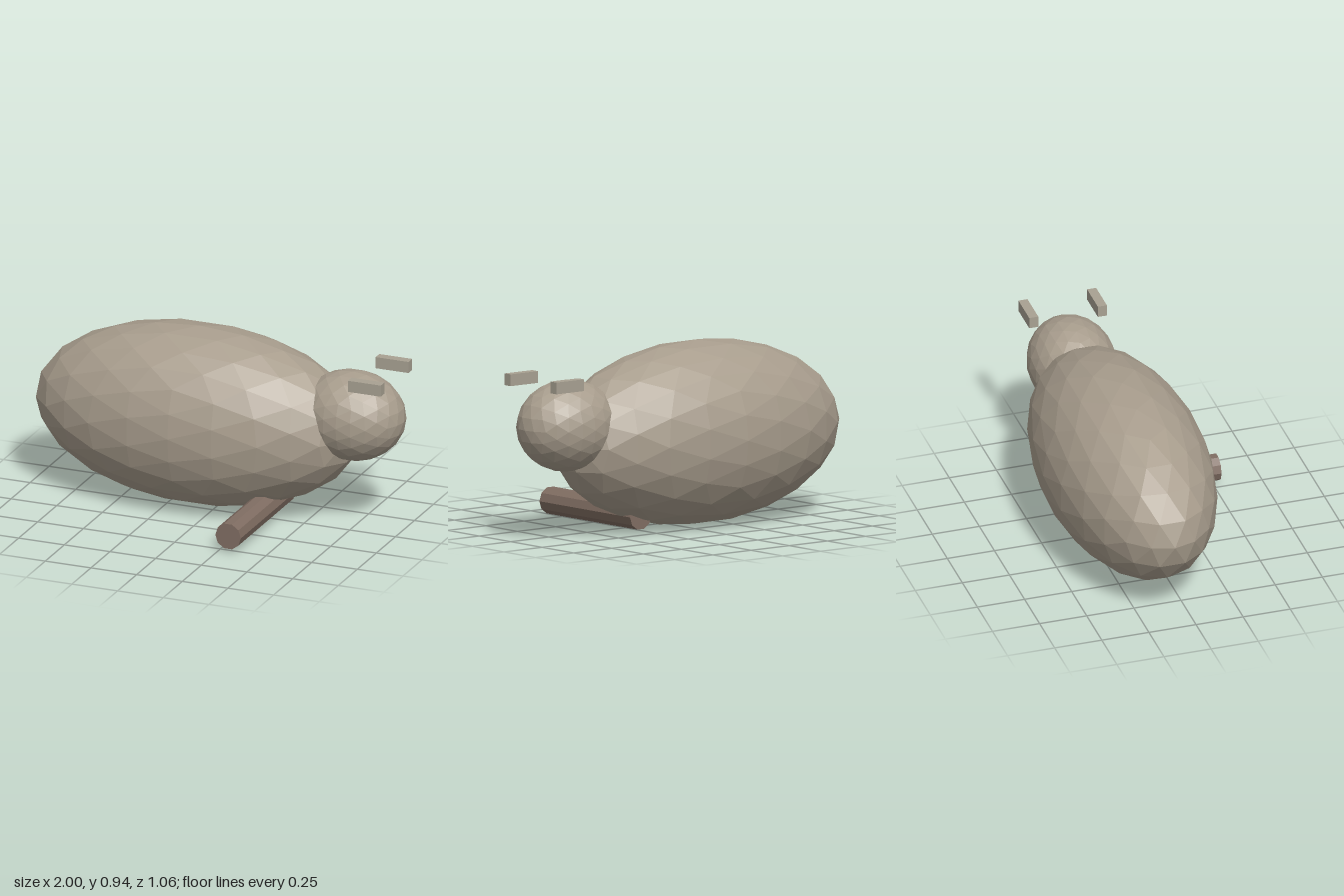
import * as THREE from 'three';

const CENTRE_Z = -0.11;

// Low-poly ball: icosahedron halved repeatedly, each new point pushed out to the sphere
function icoBall(levels) {
  const src = new THREE.IcosahedronGeometry(1, 0).getAttribute('position');
  let tris = [];
  for (let i = 0; i < src.count; i += 3) {
    tris.push([0, 1, 2].map((k) => new THREE.Vector3().fromBufferAttribute(src, i + k)));
  }
  const mid = (a, b) => a.clone().add(b).normalize();
  for (let l = 0; l < levels; l++) {
    tris = tris.flatMap(([a, b, c]) => {
      const ab = mid(a, b), bc = mid(b, c), ca = mid(c, a);
      return [[a, ab, ca], [ab, b, bc], [ca, bc, c], [ab, bc, ca]];
    });
  }
  return new THREE.BufferGeometry().setFromPoints(tris.flat());
}

function ellipsoid(rx, ry, rz) {
  const geo = icoBall(2).scale(rx, ry, rz);
  geo.computeVertexNormals(); // unshared corners give flat facets
  return geo;
}

function material(name, color) {
  const m = new THREE.MeshStandardMaterial({ color, flatShading: true });
  m.name = name;
  return m;
}

export function createModel() {
  const model = new THREE.Group();
  model.name = 'animal';
  const hide = material('warm grey hide', 0xa89d8d);
  const earGrey = material('ear grey', 0xa8a192);
  const brown = material('dull brown', 0x806d62);

  const add = (name, geo, mat, x, y, z) => {
    const mesh = new THREE.Mesh(geo, mat);
    mesh.name = name;
    mesh.position.set(x, y, z);
    model.add(mesh);
    return mesh;
  };

  // Long body and the head at its +x end
  add('body', ellipsoid(0.88, 0.47, 0.42), hide, -0.12, 0.47, CENTRE_Z);
  add('head', ellipsoid(0.28, 0.235, 0.225), hide, 0.72, 0.58, CENTRE_Z);

  // Pair of small block ears beside the head
  for (const side of [1, -1]) {
    add(side > 0 ? 'frontEar' : 'backEar', new THREE.BoxGeometry(0.18, 0.06, 0.048),
      earGrey, 0.87, 0.815, CENTRE_Z + side * 0.182);
  }

  // Ten-sided leg lying along z under the body
  const leg = new THREE.CylinderGeometry(0.07, 0.07, 0.72, 10, 1, false, Math.PI / 2);
  leg.rotateX(Math.PI / 2);
  add('leg', leg, brown, 0.305, 0.086, 0.17);

  return model;
}
